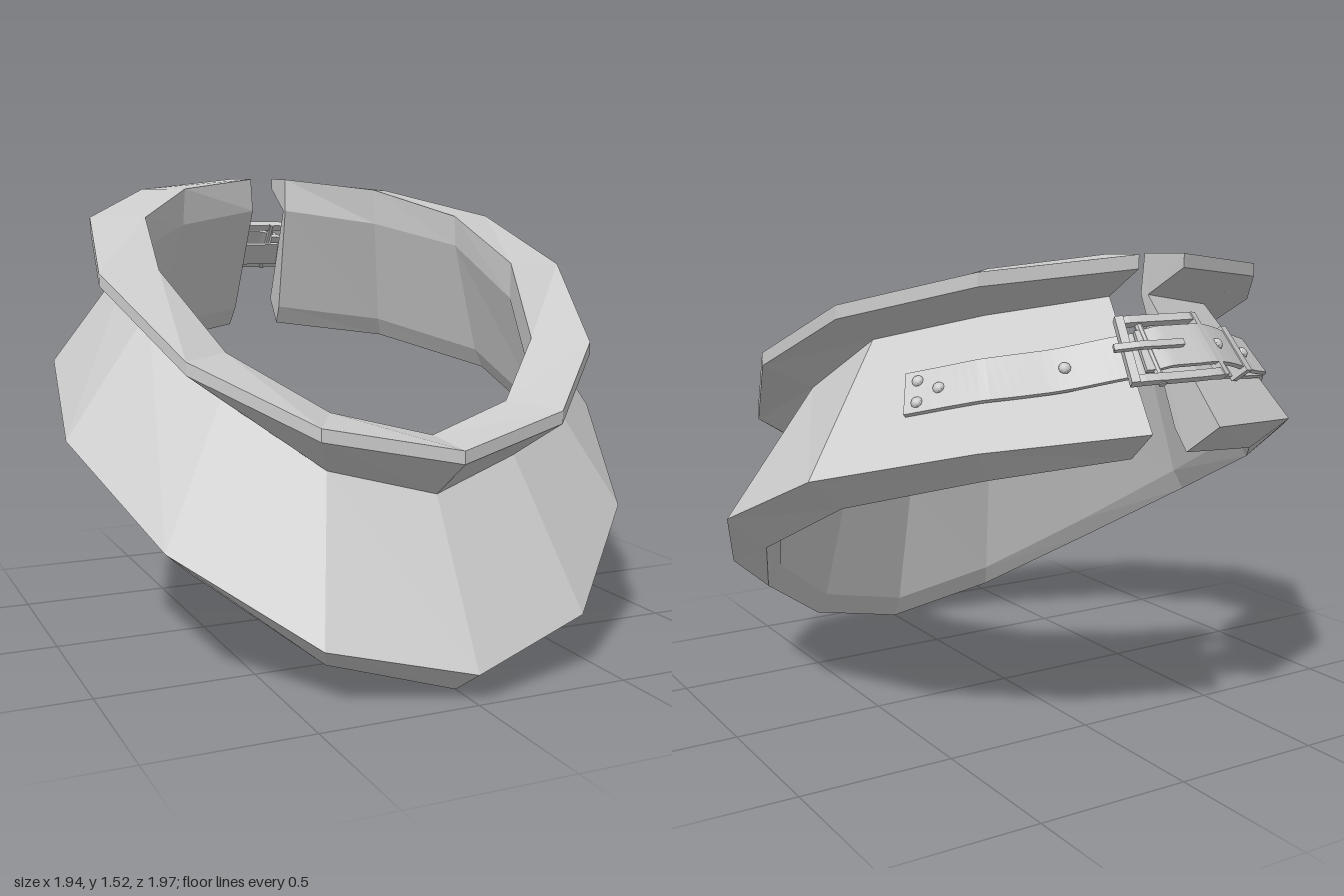
import * as THREE from 'three';

const V = (x, y, z) => new THREE.Vector3(x, y, z);
const mat = new THREE.MeshStandardMaterial({ color: 0xcccccc, flatShading: true });

// Half-collar outlines, from the front centre round to the back opening
const CREASE = [[0, .565, .73], [.32, .645, .64], [.565, .84, .4], [.685, 1.09, .05], [.635, 1.27, -.29], [.405, 1.35, -.55], [.07, 1.4, -.69]];
const FLARE = [[0, .09, 1], [.43, .18, .88], [.79, .42, .55], [.97, .69, .09], [.9, .89, -.4], [.57, 1, -.78], [.12, 1.04, -.97]];
const BOTTOM = [[0, 0, .86], [.38, .1, .77], [.69, .33, .48], [.85, .585, .07], [.78, .79, -.36], [.49, .9, -.69], [.1, .95, -.85]];
const RIM_IN = [[0, .74, .7], [.3, .815, .62], [.54, .98, .38], [.65, 1.215, .06], [.6, 1.38, -.27], [.38, 1.48, -.52], [.07, 1.52, -.67]];
const RIM_OUT = [[0, .725, .9], [.4, .8, .79], [.7, .97, .49], [.845, 1.21, .06], [.775, 1.38, -.34], [.5, 1.48, -.67], [.08, 1.525, -.84]];

// Skin a row of matching rings and close both ends with a fan from corner 0
function loft(name, rings) {
  const pos = [], n = rings[0].length;
  const tri = (...p) => p.forEach(v => pos.push(v.x, v.y, v.z));
  for (let i = 0; i < rings.length - 1; i++) {
    for (let j = 0; j < n; j++) {
      const k = (j + 1) % n, [a, b] = [rings[i], rings[i + 1]];
      tri(a[j], a[k], b[k]);
      tri(a[j], b[k], b[j]);
    }
  }
  const first = rings[0], last = rings[rings.length - 1];
  for (let j = 1; j < n - 1; j++) {
    tri(first[0], first[j + 1], first[j]);
    tri(last[0], last[j], last[j + 1]);
  }
  const geo = new THREE.BufferGeometry();
  geo.setAttribute('position', new THREE.Float32BufferAttribute(pos, 3));
  geo.computeVertexNormals();
  const mesh = new THREE.Mesh(geo, mat);
  mesh.name = name;
  return mesh;
}

// Closed Y-shaped section of the collar at one station
function section(i, side) {
  const at = t => V(t[i][0] * side, t[i][1], t[i][2]);
  const inward = (p, d) => {
    const r = Math.hypot(p.x, p.z);
    return V(p.x * (1 - d / r), p.y, p.z * (1 - d / r));
  };
  const crease = at(CREASE), bottom = at(BOTTOM), rim = at(RIM_OUT);
  const neck = inward(crease, .03);
  const lip = inward(bottom.clone().lerp(neck, .15), .02);
  return [crease, at(FLARE), bottom, lip, neck, at(RIM_IN), rim, rim.clone().add(V(0, -.04, 0))];
}

// Point on a mirrored outline: q = 0 is the middle of the gap, +-1 the collar ends
function outline(table, q) {
  const a = Math.abs(q), s = Math.sign(q);
  if (a <= 1) return V(table[6][0] * q, table[6][1], table[6][2]);
  const u = 7 - a, i = Math.min(5, Math.floor(u));
  const p = V(...table[i]).lerp(V(...table[i + 1]), u - i);
  p.x *= s;
  return p;
}
const middle = q => outline(CREASE, q).lerp(outline(FLARE, q), .5);

// Local axes on the flare: t along the strap, w down the slope, n outwards
function frame(q) {
  const t = middle(q + .2).sub(middle(q - .2)).normalize();
  const w = outline(FLARE, q).sub(outline(CREASE, q));
  w.addScaledVector(t, -w.dot(t)).normalize();
  return { c: middle(q), t, w, n: t.clone().cross(w) };
}

// Band following the flare; lift and half may vary with q
function ribbon(name, q0, q1, lift, half, thick = .015, lat = 0) {
  const rings = [], steps = 28;
  for (let i = 0; i <= steps; i++) {
    const q = q0 + (q1 - q0) * i / steps, f = frame(q);
    const h = typeof half === 'function' ? half(q) : half;
    const o = typeof lift === 'function' ? lift(q) : lift;
    rings.push([[h, thick], [-h, thick], [-h, 0], [h, 0]].map(([x, y]) =>
      f.c.clone().addScaledVector(f.w, lat + x).addScaledVector(f.n, o + y)));
  }
  return loft(name, rings);
}

// Place a small part on the flare
function place(name, geo, q, lat, lift) {
  const f = frame(q), mesh = new THREE.Mesh(geo, mat);
  mesh.name = name;
  mesh.quaternion.setFromRotationMatrix(new THREE.Matrix4().makeBasis(f.t, f.w, f.n));
  mesh.position.copy(f.c).addScaledVector(f.w, lat).addScaledVector(f.n, lift);
  return mesh;
}

const smooth = THREE.MathUtils.smoothstep;

export function createModel() {
  const model = new THREE.Group();

  // Collar, from the right back end round the front to the left back end
  const rings = [];
  for (let i = -6; i <= 6; i++) rings.push(section(Math.abs(i), i < 0 ? -1 : 1));
  model.add(loft('collar', rings));

  // Straps
  const longLift = q => .015 + .06 * smooth(q, -2.1, -1) - .02 * smooth(q, .2, 1);
  const leftLift = q => .002 + .035 * (1 - smooth(q, .9, 1.6));
  const tip = q => .065 * Math.sqrt(Math.min(1, Math.max(.15, (q + 2.27) / .12)));
  model.add(
    ribbon('leftStrap', .75, 2.52, leftLift, .068),
    ribbon('rightStrapBase', -2.52, -1, .002, .068),
    ribbon('bridgeStrap', -1.25, 1.2, .01, .05, .012),
    ribbon('longStrap', -2.25, .9, longLift, tip));

  // Strap keeper loop
  model.add(place('keeper', new THREE.BoxGeometry(.035, .16, .06), -1.55, 0, .037));

  // Buckle frame, centre bar and prong
  const buckle = new THREE.Group();
  buckle.name = 'buckle';
  for (const s of [-1, 1]) {
    buckle.add(ribbon('buckleSide', -1.08, 1.08, .06, .012, .025, s * .095));
    buckle.add(place('buckleEnd', new THREE.BoxGeometry(.025, .214, .028), s * 1.06, 0, .075));
  }
  buckle.add(place('buckleBar', new THREE.CylinderGeometry(.012, .012, .22, 8), .75, 0, .065));
  buckle.add(ribbon('prong', -.3, 1.15, .09, .01, .016));
  model.add(buckle);

  // Rivets: [q, offset down the slope, lift]
  const dome = new THREE.SphereGeometry(.018, 10, 5, 0, Math.PI * 2, 0, Math.PI / 2);
  dome.rotateX(Math.PI / 2).scale(1, 1, .8);
  const rivets = [
    [2.43, -.035, .015], [2.43, .035, .015], [2.28, 0, .015], [1.45, 0, .022],
    [-2.45, -.035, .015], [-2.45, .035, .015], [-2.33, -.035, .015], [-2.33, .035, .015],
    [-1.75, 0, longLift(-1.75) + .013], [-1.18, 0, longLift(-1.18) + .013],
  ];
  for (const [q, lat, lift] of rivets) model.add(place('rivet', dome, q, lat, lift));

  return model;
}
